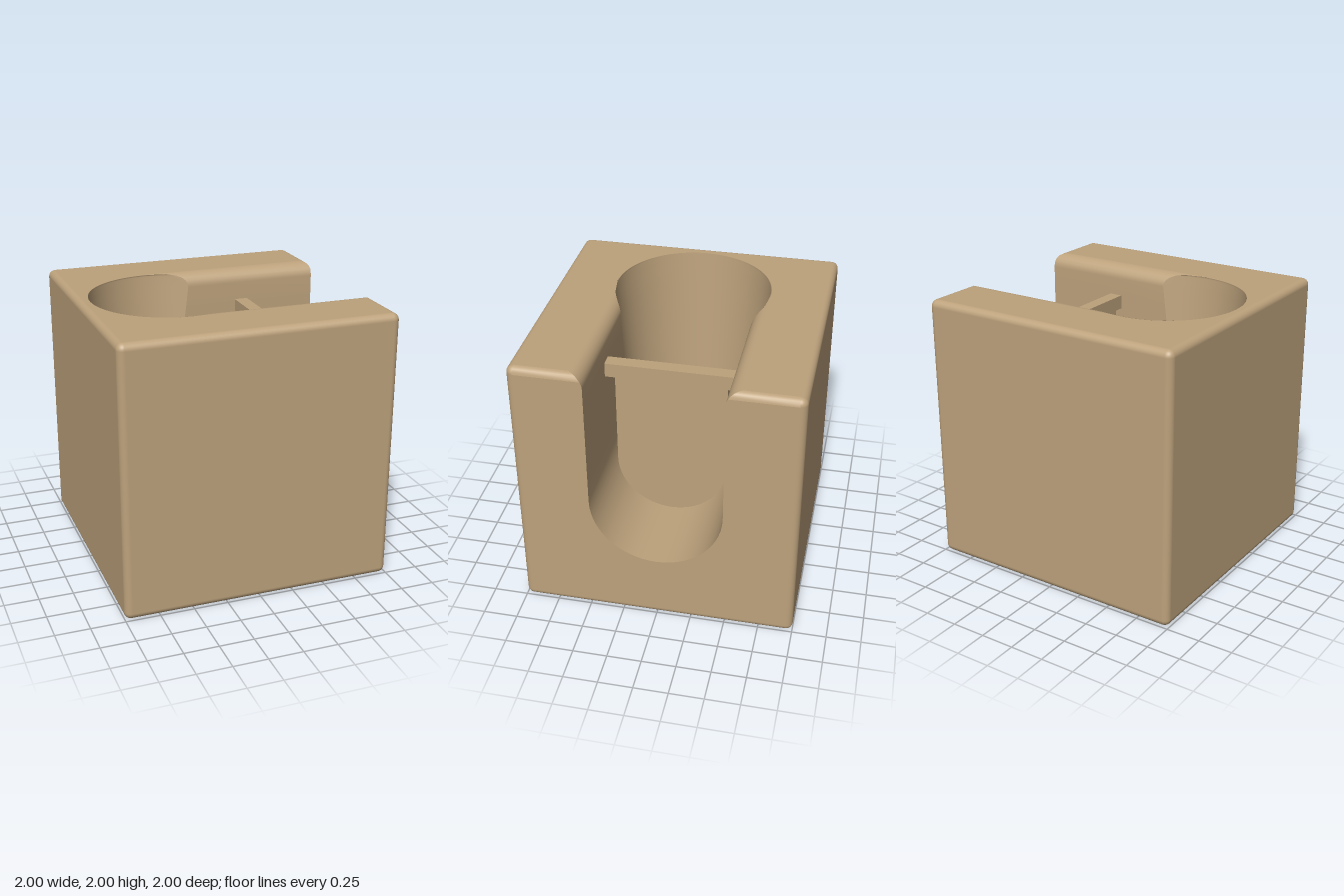
import * as THREE from 'three';
import { RoundedBoxGeometry } from 'three/addons/geometries/RoundedBoxGeometry.js';

const EDGE = 0.05;                                   // rounding of the block
const HALF = 0.475, ARC_Y = 0.97, FLOOR = ARC_Y - HALF; // U channel
const LIP = 0.1;                                     // rounded lip of the channel
const CX = -0.34, TOP_R = 0.575, SIDES = 40;         // tapered round pocket

// half width of the channel, pocket radius and block end at a given height
const width = (y) => {
  if (y < ARC_Y) return Math.sqrt(Math.max(0, HALF ** 2 - (ARC_Y - y) ** 2));
  const t = Math.max(0, y - (2 - LIP));
  return HALF + LIP - Math.sqrt(Math.max(0, LIP ** 2 - t ** 2));
};
const radius = (y) => HALF + (TOP_R - HALF) * (y - FLOOR) / (2 - FLOOR);
const phi = (y) => Math.asin(Math.min(1, width(y) / radius(y)));
const endX = (y) => 1 - EDGE + Math.sqrt(Math.max(0, EDGE ** 2 - Math.max(0, y - 2 + EDGE) ** 2));
const pocketAngle = (y, t) => phi(y) + (2 * Math.PI - 2 * phi(y)) * t;

// shared heights: round bottom, straight wall, lip
const heights = [];
for (let i = 0; i <= 14; i++) heights.push(ARC_Y - HALF * Math.cos(i / 14 * Math.PI / 2));
for (let i = 1; i <= 6; i++) heights.push(ARC_Y + (2 - LIP - ARC_Y) * i / 6);
for (let i = 1; i <= 6; i++) heights.push(2 - LIP + LIP * Math.sin(i * Math.PI / 12));

// grid surface facing u x v
function grid(nu, nv, point) {
  const pos = [], index = [];
  for (let j = 0; j <= nv; j++) for (let i = 0; i <= nu; i++) pos.push(...point(i, j));
  for (let j = 0; j < nv; j++) for (let i = 0; i < nu; i++) {
    const a = j * (nu + 1) + i, c = a + nu + 1;
    index.push(a, a + 1, c, a + 1, c + 1, c);
  }
  const g = new THREE.BufferGeometry();
  g.setAttribute('position', new THREE.Float32BufferAttribute(pos, 3));
  g.setIndex(index);
  g.computeVertexNormals();
  return g;
}

// rounded block without its top, its +x face and the edge between them
function shellGeometry() {
  const src = new RoundedBoxGeometry(2, 2, 2, 4, EDGE);
  const p = src.attributes.position, n = src.attributes.normal;
  const pos = [], nor = [];
  for (let t = 0; t < p.count; t += 3) {
    const ids = [t, t + 1, t + 2];
    const xs = ids.map((i) => p.getX(i)), ys = ids.map((i) => p.getY(i)), zs = ids.map((i) => p.getZ(i));
    const minX = Math.min(...xs), minY = Math.min(...ys);
    const long = Math.max(...zs) - Math.min(...zs) > 1;
    if (long && (minY > 0.9999 || minX > 0.9999 || (minX > 0.94 && minY > 0.94))) continue;
    for (const i of ids) {
      pos.push(p.getX(i), p.getY(i) + 1, p.getZ(i));
      nor.push(n.getX(i), n.getY(i), n.getZ(i));
    }
  }
  const g = new THREE.BufferGeometry();
  g.setAttribute('position', new THREE.Float32BufferAttribute(pos, 3));
  g.setAttribute('normal', new THREE.Float32BufferAttribute(nor, 3));
  return g;
}

const flat = (pts) => new THREE.ShapeGeometry(new THREE.Shape(pts.map(([x, y]) => new THREE.Vector2(x, y))));

export function createModel() {
  const model = new THREE.Group();
  model.name = 'slottedBlock';
  const tan = new THREE.MeshStandardMaterial({ color: 0xbda27c });
  tan.name = 'tan';
  const add = (parent, name, geometry) => {
    const m = new THREE.Mesh(geometry, tan);
    m.name = name;
    parent.add(m);
    return m;
  };

  const block = new THREE.Group();
  block.name = 'block';
  model.add(block);
  add(block, 'shell', shellGeometry());

  // top face with the keyhole outline
  const e = 1 - EDGE, last = heights.length - 1;
  const outline = [[e, e], [-e, e], [-e, -e], [e, -e], [e, -width(2)]];
  for (let k = SIDES; k >= 0; k--) {
    const a = pocketAngle(2, k / SIDES);
    outline.push([CX + TOP_R * Math.cos(a), TOP_R * Math.sin(a)]);
  }
  outline.push([e, width(2)]);
  add(block, 'topFace', flat(outline).rotateX(-Math.PI / 2).translate(0, 2, 0));

  // end face with the U opening
  const low = heights.filter((y) => y < 2 - EDGE + 1e-6);
  const left = low.map((y) => [-width(y), y]).reverse();
  const right = low.slice(1).map((y) => [width(y), y]);
  add(block, 'endFace', flat([[-e, 2 - EDGE], [-e, EDGE], [e, EDGE], [e, 2 - EDGE],
    ...right.reverse(), ...left.reverse()]).rotateY(Math.PI / 2).translate(1, 0, 0));

  // rounded edge on both sides of the opening
  const high = heights.filter((y) => y > 2 - EDGE - 1e-6);
  for (const s of [1, -1]) {
    add(block, s > 0 ? 'frontEndEdge' : 'backEndEdge', grid(1, high.length - 1, (i, j) => {
      const y = high[j], z = (i === 0) === (s > 0) ? e : width(y);
      return [endX(y), y, s * z];
    }));
  }

  // channel, from the pocket wall out to the end face
  add(block, 'channel', grid(1, 2 * last, (i, j) => {
    const y = heights[Math.abs(last - j)], z = width(y) * Math.sign(last - j);
    return [i ? endX(y) : CX + radius(y) * Math.cos(phi(y)), y, z];
  }));

  // tapered pocket wall and floor
  add(block, 'pocketWall', grid(SIDES, last, (i, j) => {
    const y = heights[j], r = radius(y), a = pocketAngle(y, i / SIDES);
    return [CX + r * Math.cos(a), y, r * Math.sin(a)];
  }));
  add(block, 'pocketFloor', new THREE.CircleGeometry(HALF, SIDES).rotateX(-Math.PI / 2).translate(CX, FLOOR, 0));

  // gate hanging from a crossbar in the channel
  const gate = new THREE.Group();
  gate.name = 'gate';
  model.add(gate);
  add(gate, 'crossbar', new THREE.BoxGeometry(0.1, 0.105, 2 * HALF)).position.set(0.405, 1.715, 0);
  const panel = new THREE.Shape();
  panel.moveTo(0.402, 1.665);
  panel.lineTo(-0.402, 1.665);
  panel.lineTo(-0.402, ARC_Y);
  panel.absarc(0, ARC_Y, 0.402, Math.PI, 2 * Math.PI, false);
  panel.closePath();
  add(gate, 'panel', new THREE.ExtrudeGeometry(panel, { depth: 0.1, bevelEnabled: false, curveSegments: 24 })
    .rotateY(Math.PI / 2).translate(0.355, 0, 0));

  return model;
}
